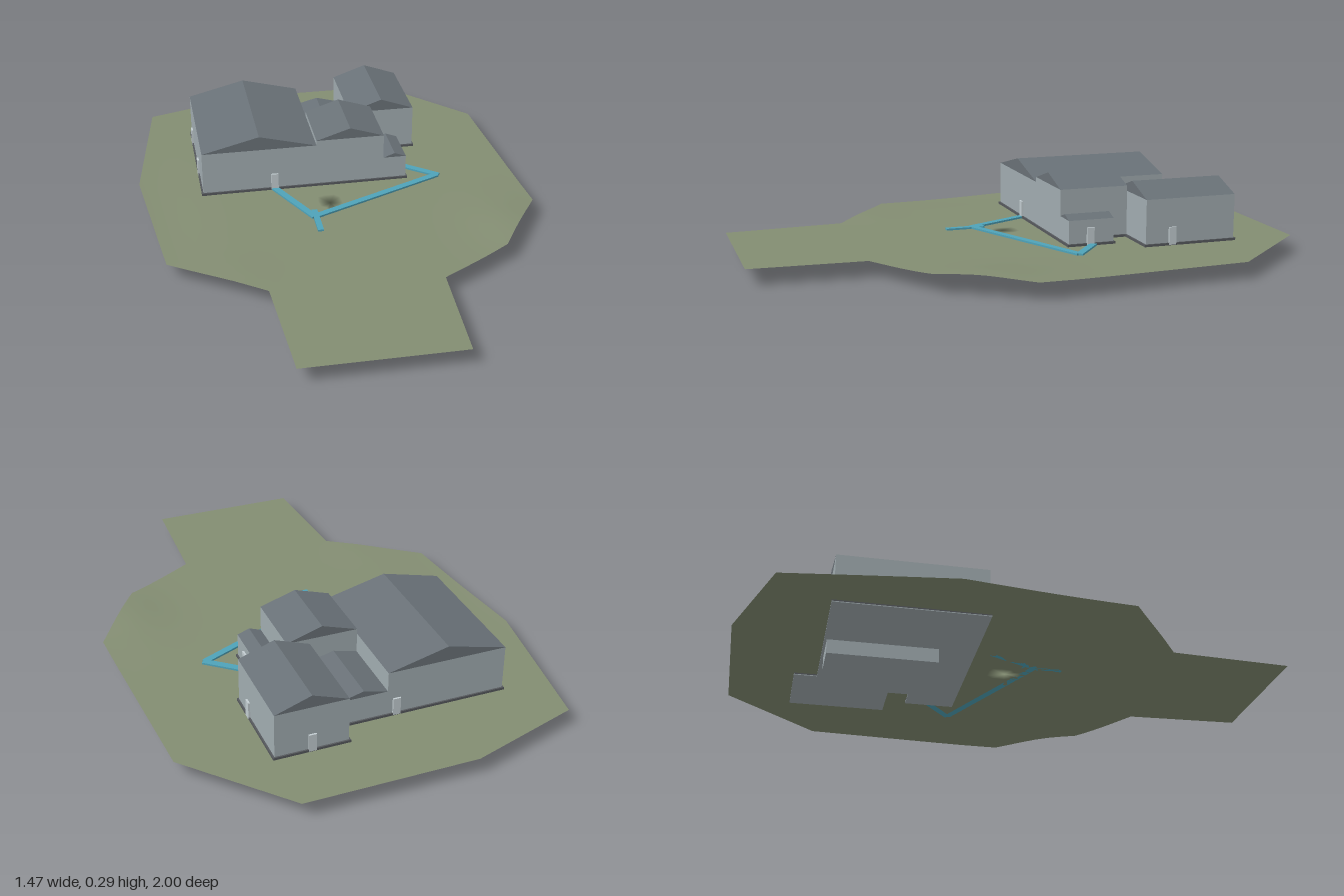
import * as THREE from 'three';

const mat = (name, color, side = THREE.FrontSide) => {
  const m = new THREE.MeshStandardMaterial({ color, side });
  m.name = name;
  return m;
};

export function createModel() {
  const model = new THREE.Group();
  const wallMat = mat('wall grey', 0xa1acb0);
  const roofMat = mat('roof slate', 0x697177);
  const plinthMat = mat('plinth dark grey', 0x56595d);
  const doorMat = mat('door pale grey', 0xc2ccd0);
  const grassMat = mat('grass', 0x838d72, THREE.DoubleSide);
  const pathMat = mat('path blue', 0x4fa3b9);
  const GROUND = 0.06;

  const add = (parent, name, geo, material) => {
    const mesh = new THREE.Mesh(geo, material);
    mesh.name = name;
    parent.add(mesh);
    return mesh;
  };
  // box given by its minimum and maximum corners
  const box = (parent, name, material, x0, x1, y0, y1, z0, z1) => {
    const mesh = add(parent, name, new THREE.BoxGeometry(x1 - x0, y1 - y0, z1 - z0), material);
    mesh.position.set((x0 + x1) / 2, (y0 + y1) / 2, (z0 + z1) / 2);
    return mesh;
  };

  // Buildings: walls, a gabled roof with its ridge along z, plinth and floor slab
  const buildings = [
    ['mainHall', -0.497, -0.057, -0.675, -0.147, 0.233, 0.288],
    ['frontWing', -0.057, 0.206, -0.41, -0.147, 0.252, 0.294],
    ['rearWing', 0.12, 0.382, -0.76, -0.41, 0.232, 0.278],
    ['porch', 0.206, 0.295, -0.32, -0.147, 0.155, 0.171],
    ['connector', -0.057, 0.12, -0.675, -0.41, 0.16, 0.183],
  ];
  for (const [name, x0, x1, z0, z1, eave, ridge] of buildings) {
    const g = new THREE.Group();
    g.name = name;
    model.add(g);
    box(g, 'walls', wallMat, x0, x1, GROUND, eave, z0, z1);
    const gable = new THREE.Shape([
      new THREE.Vector2(x0, eave),
      new THREE.Vector2(x1, eave),
      new THREE.Vector2((x0 + x1) / 2, ridge),
    ]);
    const roof = new THREE.ExtrudeGeometry(gable, { depth: z1 - z0, bevelEnabled: false });
    add(g, 'roof', roof, roofMat).position.z = z0;
    const m = 0.006;
    box(g, 'plinth', plinthMat, x0 - m, x1 + m, 0.055, 0.069, z0 - m, z1 + m);
    box(g, 'floorSlab', wallMat, x0 - m, x1 + m, 0.052, 0.055, z0 - m, z1 + m);
  }
  box(model, 'basement', wallMat, -0.212, -0.057, 0, 0.056, -0.672, -0.275);

  // Doors: thin plates facing along z or x
  const doors = [
    ['z', -0.221, -0.144], ['z', -0.09, -0.678], ['z', 0.25, -0.763],
    ['x', -0.5, -0.32], ['x', -0.5, -0.59], ['x', 0.385, -0.513], ['x', 0.298, -0.23],
  ];
  for (const [facing, x, z] of doors) {
    const w = facing === 'z' ? 0.014 : 0.004;
    const d = facing === 'z' ? 0.004 : 0.014;
    box(model, 'door', doorMat, x - w, x + w, 0.062, 0.127, z - d, z + d);
  }

  // Paths: flat strips between pairs of points
  const strips = [
    [-0.222, -0.145, -0.105, 0.1, 0.026],
    [-0.1, 0.05, -0.1, 0.2, 0.022],
    [-0.105, 0.095, 0.42, -0.14, 0.026],
    [0.425, -0.137, 0.297, -0.243, 0.026],
  ];
  for (const [xa, za, xb, zb, width] of strips) {
    const length = Math.hypot(xb - xa, zb - za);
    const strip = add(model, 'path', new THREE.BoxGeometry(length, 0.007, width), pathMat);
    strip.position.set((xa + xb) / 2, 0.0635, (za + zb) / 2);
    strip.rotation.y = -Math.atan2(zb - za, xb - xa);
  }

  // Ground: rings shrinking from the outline to a centre, with a low mound and a dip
  const outline = [
    [-0.65, -0.87], [-0.24, -1], [0.38, -1], [0.69, -0.655], [0.73, 0.12], [0.54, 0.42],
    [0.27, 0.58], [0.25, 1], [-0.315, 1], [-0.34, 0.555], [-0.67, 0.32], [-0.735, -0.28],
  ];
  const bump = (x, z, cx, cz, rx, rz) => Math.exp(-(((x - cx) / rx) ** 2) - ((z - cz) / rz) ** 2);
  const height = (x, z) => GROUND + 0.016 * bump(x, z, 0.6, 0.28, 0.14, 0.2)
    - 0.007 * bump(x, z, -0.66, 0.05, 0.12, 0.35) + 0.004 * bump(x, z, -0.42, 0.42, 0.08, 0.1);
  const edge = [];
  outline.forEach(([x, z], i) => {
    const [nx, nz] = outline[(i + 1) % outline.length];
    for (let k = 0; k < 6; k++) edge.push([x + (nx - x) * k / 6, z + (nz - z) * k / 6]);
  });
  const rings = 16, n = edge.length, cx = -0.03, pos = [], index = [];
  for (let r = 0; r <= rings; r++) {
    for (const [ex, ez] of edge) {
      const x = cx + (ex - cx) * r / rings, z = ez * r / rings;
      pos.push(x, height(x, z), z);
    }
  }
  for (let r = 0; r < rings; r++) {
    for (let i = 0; i < n; i++) {
      const j = (i + 1) % n, a = r * n + i, b = r * n + j, c = a + n, d = b + n;
      if (r > 0) index.push(a, b, d);
      index.push(a, d, c);
    }
  }
  const ground = new THREE.BufferGeometry();
  ground.setAttribute('position', new THREE.Float32BufferAttribute(pos, 3));
  // outline runs clockwise seen from above, so reverse the corners to face up
  ground.setIndex(index.reverse());
  ground.computeVertexNormals();
  // the centre ring has no area of its own on some copies, so point it straight up
  for (let i = 0; i < n; i++) ground.attributes.normal.setXYZ(i, 0, 1, 0);
  add(model, 'ground', ground, grassMat);

  return model;
}
